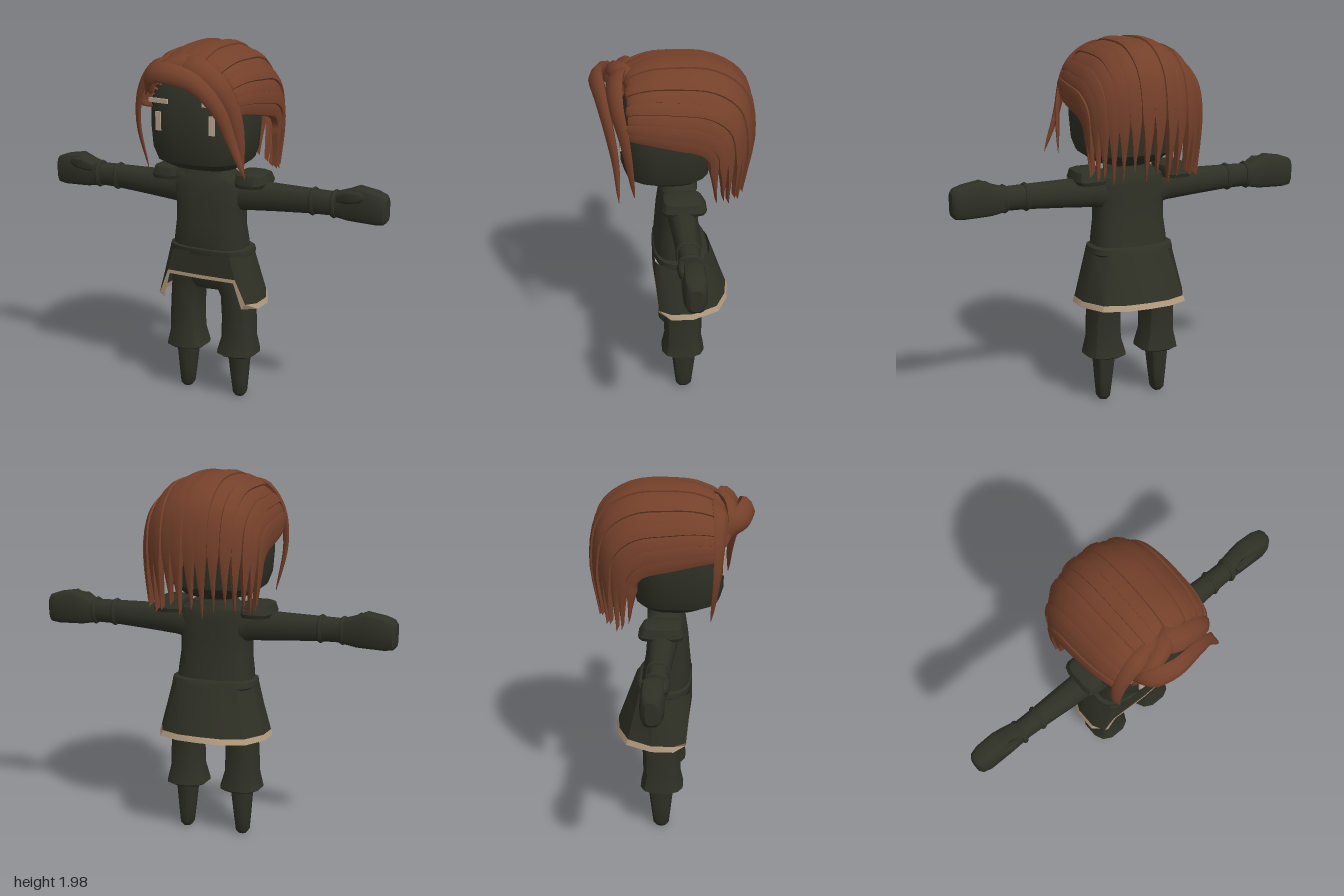
import * as THREE from 'three';
import { toCreasedNormals } from 'three/addons/utils/BufferGeometryUtils.js';

const V = (x, y, z) => new THREE.Vector3(x, y, z);

function makeMaterial(name, color) {
  const m = new THREE.MeshStandardMaterial({ color, side: THREE.DoubleSide });
  m.name = name;
  return m;
}

// Joins rows of points into a surface, optionally closed round and capped
function skin(rows, closed = true, caps = true, crease = 0.6) {
  const n = rows[0].length, pos = [], idx = [];
  rows.forEach(r => r.forEach(p => pos.push(p.x, p.y, p.z)));
  const m = closed ? n : n - 1;
  for (let i = 0; i < rows.length - 1; i++) for (let j = 0; j < m; j++) {
    const k = (j + 1) % n, a = i * n + j, b = i * n + k, c = b + n, d = a + n;
    idx.push(a, b, c, a, c, d);
  }
  if (caps) [0, rows.length - 1].forEach(i => {
    const c = V(0, 0, 0);
    rows[i].forEach(p => c.addScaledVector(p, 1 / n));
    const ci = pos.length / 3;
    pos.push(c.x, c.y, c.z);
    for (let j = 0; j < n; j++) {
      const a = i * n + j, b = i * n + (j + 1) % n;
      if (i === 0) idx.push(ci, b, a); else idx.push(ci, a, b);
    }
  });
  const g = new THREE.BufferGeometry();
  g.setAttribute('position', new THREE.Float32BufferAttribute(pos, 3));
  g.setIndex(idx);
  return toCreasedNormals(g, crease);
}

// Rounded-box sections along y: [y, centre x, centre z, half x, half z]
function loft(sections, sides = 16, power = 0.7, crease = 0.6) {
  const se = v => Math.sign(v) * Math.pow(Math.abs(v), power);
  return skin(sections.map(([y, cx, cz, rx, rz]) => Array.from({ length: sides }, (_, j) => {
    const a = (j + 0.5) / sides * Math.PI * 2;
    return V(cx + rx * se(Math.cos(a)), y, cz - rz * se(Math.sin(a)));
  })), true, true, crease);
}

// Mirrored copy with its winding turned back outward
function mirrored(geo) {
  const g = geo.clone().scale(-1, 1, 1);
  const p = g.attributes.position, a = V(0, 0, 0), b = V(0, 0, 0);
  for (let i = 0; i < p.count; i += 3) {
    a.fromBufferAttribute(p, i + 1);
    b.fromBufferAttribute(p, i + 2);
    p.setXYZ(i + 1, b.x, b.y, b.z);
    p.setXYZ(i + 2, a.x, a.y, a.z);
  }
  return toCreasedNormals(g, 0.6);
}

// Tapered lock of hair lying on the head
function lock(points, width, thick) {
  const curve = new THREE.CatmullRomCurve3(points.map(p => V(...p)));
  const rows = [], steps = 20, sides = 8, centre = V(0, 1.62, 0);
  for (let i = 0; i <= steps; i++) {
    const t = i / steps, c = curve.getPoint(t), T = curve.getTangent(t);
    const O = c.clone().sub(centre);
    O.addScaledVector(T, -O.dot(T)).normalize();
    const S = T.clone().cross(O);
    const k = Math.min(1, 0.45 + t * 2.5) * Math.pow(1 - t, 0.6) + 0.02;
    rows.push(Array.from({ length: sides }, (_, j) => {
      const a = j / sides * Math.PI * 2;
      return c.clone().addScaledVector(S, width * k * Math.cos(a))
        .addScaledVector(O, -thick * k * Math.sin(a));
    }));
  }
  return skin(rows, true, true, 0.9);
}

// One strand of the swept-back hair; angle 0 is the middle of the crown
function strand(angle, half, lift, drop) {
  const rows = [], steps = 26, across = [-1, -0.8, 0, 0.8, 1];
  const path = a => {
    const s = Math.sin(a), c = Math.cos(a);
    return new THREE.CatmullRomCurve3([
      V(0.22 * s, 1.68 + 0.14 * c, 0.2), V(0.27 * s, 1.69 + 0.2 * c, 0.225),
      V(0.305 * s, 1.69 + 0.255 * c, 0.13), V(0.318 * s, 1.67 + 0.29 * c, 0),
      V(0.32 * s, 1.64 + 0.3 * c, -0.14 - 0.07 * c), V(0.315 * s, 1.58 + 0.25 * c, -0.2 - 0.16 * c),
      V(0.31 * s, 1.5 + 0.1 * c, -0.21 - 0.2 * c), V(0.29 * s, 1.31 - drop, -0.22 - 0.15 * c)]);
  };
  const curves = new Map();
  for (let i = 0; i <= steps; i++) {
    const t = i / steps;
    const taper = t < 0.84 ? 1 : Math.max(0.03, (1 - t) / 0.16);
    rows.push(across.map(s => {
      const key = s * taper;
      if (!curves.has(key)) curves.set(key, path(angle + half * key));
      const p = curves.get(key).getPoint(t);
      const out = p.clone().sub(V(0, 1.62, -0.08)).normalize();
      return p.addScaledVector(out, (Math.abs(s) === 1 ? -0.015 : 0.014 + 0.006 * (1 - s * s)) + lift);
    }));
  }
  return skin(rows, false, false, 0.7);
}

export function createModel() {
  const model = new THREE.Group();
  const cloth = makeMaterial('dark olive', 0x2f3025);
  const hair = makeMaterial('auburn', 0x74402a);
  const trim = makeMaterial('beige trim', 0xb39b7e);
  const pale = makeMaterial('pale eye', 0xb8a691);

  const add = (name, geo, mat) => {
    const m = new THREE.Mesh(geo, mat);
    m.name = name;
    model.add(m);
    return m;
  };
  const pair = (name, geo, mat) => {
    add('left' + name, geo, mat);
    add('right' + name, mirrored(geo), mat);
  };

  // Head and neck
  add('head', loft([
    [1.305, 0, -0.01, 0.1, 0.1], [1.325, 0, 0.01, 0.18, 0.16], [1.37, 0, 0.03, 0.245, 0.225],
    [1.43, 0, 0.035, 0.268, 0.237], [1.55, 0, 0.035, 0.28, 0.24], [1.68, 0, 0.03, 0.28, 0.235],
    [1.8, 0, 0.01, 0.25, 0.21], [1.88, 0, 0, 0.17, 0.15]], 20, 0.72, 0.5), cloth);
  add('neck', loft([[1.24, 0, -0.03, 0.09, 0.08], [1.34, 0, -0.02, 0.08, 0.07]], 12), cloth);

  // Eyes and brows
  for (const s of [-1, 1]) {
    const eye = add(s > 0 ? 'leftEye' : 'rightEye', new THREE.BoxGeometry(0.032, 0.1, 0.008), pale);
    eye.position.set(0.157 * s, 1.59, 0.272);
    eye.rotation.y = 0.12 * s;
    const brow = add(s > 0 ? 'leftBrow' : 'rightBrow', new THREE.BoxGeometry(0.12, 0.024, 0.009), pale);
    brow.position.set(0.16 * s, 1.695, 0.264);
    brow.rotation.y = 0.14 * s;
  }

  // Torso, collar and belt
  add('torso', loft([
    [0.82, 0, -0.04, 0.21, 0.13], [0.9, 0, -0.03, 0.21, 0.132], [1.0, 0, -0.025, 0.198, 0.118],
    [1.1, 0, -0.025, 0.198, 0.11], [1.2, 0, -0.03, 0.215, 0.1], [1.25, 0, -0.035, 0.2, 0.09],
    [1.275, 0, -0.035, 0.14, 0.075]]), cloth);
  add('collar', loft([[1.255, 0, -0.035, 0.17, 0.1], [1.295, 0, -0.035, 0.12, 0.085]], 14), cloth);
  add('belt', loft([[0.83, 0, -0.045, 0.232, 0.147], [0.84, 0, -0.045, 0.238, 0.152],
    [0.868, 0, -0.04, 0.234, 0.146], [0.875, 0, -0.04, 0.222, 0.136]], 18), cloth);
  pair('ShoulderPad', loft([[1.225, 0.25, -0.045, 0.075, 0.115], [1.245, 0.25, -0.045, 0.085, 0.12],
    [1.29, 0.245, -0.04, 0.078, 0.1], [1.3, 0.24, -0.04, 0.06, 0.08]], 12, 0.5), cloth);

  // Arms, wrist bands and mittens, lofted upright and then laid along x
  const along = (sections, sides, power) => loft(sections, sides, power).rotateZ(-Math.PI / 2);
  pair('Arm', along([[0.12, -1.16, -0.035, 0.095, 0.08], [0.22, -1.17, -0.038, 0.082, 0.072],
    [0.4, -1.175, -0.04, 0.073, 0.065], [0.6, -1.18, -0.042, 0.065, 0.054],
    [0.76, -1.18, -0.045, 0.062, 0.05]], 14, 0.8), cloth);
  for (const x of [0.595, 0.715]) pair('WristBand', along([
    [x - 0.012, -1.18, -0.042, 0.07, 0.06], [x, -1.18, -0.042, 0.076, 0.064],
    [x + 0.012, -1.18, -0.042, 0.07, 0.06]], 14, 0.8), cloth);
  pair('Hand', along([[0.72, -1.18, -0.047, 0.066, 0.052], [0.79, -1.185, -0.05, 0.083, 0.058],
    [0.84, -1.195, -0.05, 0.095, 0.06], [0.94, -1.185, -0.05, 0.088, 0.06],
    [0.985, -1.18, -0.05, 0.078, 0.048], [1.0, -1.18, -0.05, 0.06, 0.03]], 14, 0.55), cloth);
  pair('Thumb', along([[0.74, -1.22, 0.0, 0.02, 0.015], [0.79, -1.235, 0.005, 0.035, 0.025],
    [0.86, -1.24, 0.003, 0.03, 0.022], [0.89, -1.24, 0, 0.012, 0.01]], 10, 0.8), cloth);

  // Tunic skirt, cut high in front, with an edging strip
  const row = half => [...half.slice(1).reverse().map(([x, y, z]) => V(-x, y, z)), ...half.map(p => V(...p))];
  const waist = row([[0, 0.85, 0.105], [0.17, 0.85, 0.1], [0.2, 0.85, 0.08], [0.23, 0.85, 0],
    [0.23, 0.85, -0.09], [0.17, 0.85, -0.17], [0.08, 0.85, -0.2], [0, 0.85, -0.205]]);
  const inner = row([[0, 0.725, 0.107], [0.205, 0.725, 0.1], [0.262, 0.59, 0.086], [0.298, 0.585, 0.02],
    [0.298, 0.585, -0.1], [0.235, 0.588, -0.23], [0.12, 0.592, -0.285], [0, 0.595, -0.3]]);
  const hem = row([[0, 0.705, 0.107], [0.195, 0.705, 0.1], [0.238, 0.56, 0.086], [0.308, 0.555, 0.02],
    [0.308, 0.555, -0.1], [0.243, 0.558, -0.24], [0.124, 0.562, -0.296], [0, 0.565, -0.312]]);
  add('skirt', skin([waist, inner], false, false, 0.5), cloth);
  add('skirtTrim', skin([inner, hem], false, false, 0.5), trim);

  // Trousers and boots
  add('hips', loft([[0.63, 0, -0.05, 0.1, 0.09], [0.67, 0, -0.05, 0.18, 0.11],
    [0.85, 0, -0.045, 0.2, 0.13]], 14), cloth);
  pair('TrouserLeg', loft([[0.255, 0.155, -0.05, 0.1, 0.105], [0.265, 0.157, -0.05, 0.114, 0.12],
    [0.35, 0.16, -0.05, 0.092, 0.103], [0.48, 0.16, -0.05, 0.086, 0.106],
    [0.6, 0.153, -0.05, 0.085, 0.11], [0.66, 0.135, -0.05, 0.1, 0.115], [0.74, 0.12, -0.05, 0.11, 0.12]],
    12, 0.75), cloth);
  pair('Boot', loft([[0, 0.165, -0.055, 0.022, 0.028], [0.02, 0.165, -0.055, 0.036, 0.044],
    [0.12, 0.163, -0.055, 0.046, 0.056], [0.28, 0.16, -0.055, 0.06, 0.074]], 12, 0.75), cloth);

  // Swept-back hair
  const count = 17;
  for (let i = 0; i < count; i++) {
    const a = (i / (count - 1) * 2 - 1) * 1.66;
    add('hairStrand', strand(a, 0.125, i % 2 ? 0.006 : -0.003, (i * 7 % 5) * 0.012 - 0.01), hair);
  }

  // Fringe sweeping across the forehead, and side locks
  add('fringe', lock([[-0.2, 1.75, 0.27], [-0.17, 1.83, 0.34], [-0.05, 1.865, 0.385], [0.1, 1.82, 0.365],
    [0.22, 1.69, 0.33], [0.285, 1.52, 0.3], [0.355, 1.34, 0.29]], 0.07, 0.035), hair);
  add('upperFringe', lock([[-0.12, 1.88, 0.22], [0.06, 1.89, 0.29], [0.2, 1.81, 0.29],
    [0.285, 1.63, 0.25], [0.305, 1.34, 0.21]], 0.075, 0.03), hair);
  add('rightLock', lock([[-0.06, 1.9, 0.22], [-0.18, 1.87, 0.25], [-0.265, 1.76, 0.25],
    [-0.295, 1.57, 0.24], [-0.25, 1.31, 0.21]], 0.055, 0.028), hair);
  add('fringeRoot', lock([[0.08, 1.9, 0.2], [-0.05, 1.9, 0.29], [-0.16, 1.84, 0.31],
    [-0.23, 1.72, 0.28]], 0.06, 0.035), hair);
  return model;
}
